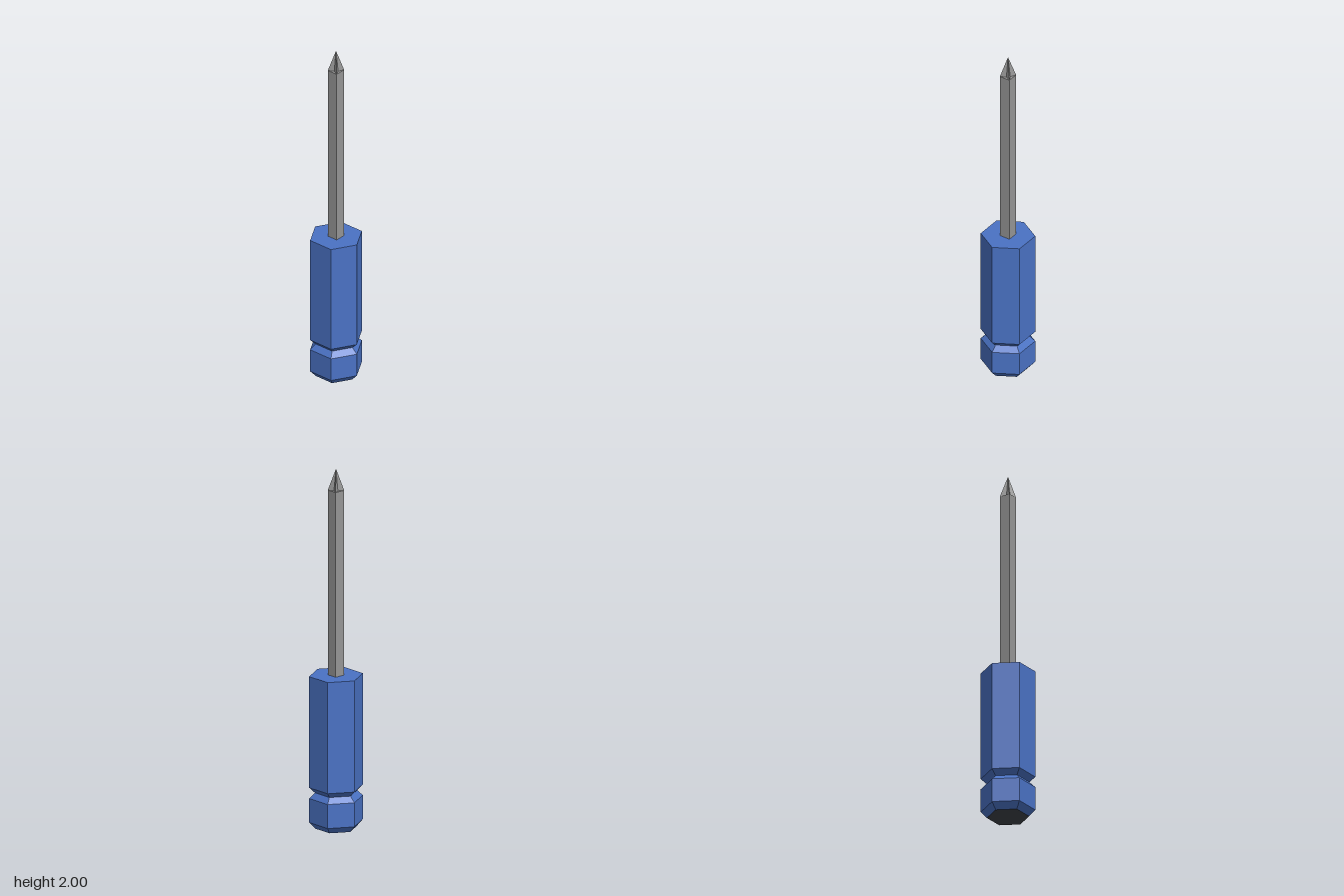
import * as THREE from 'three';

const blue = new THREE.MeshStandardMaterial({ color: 0x4a72c4 });
blue.name = 'blue handle';
const steel = new THREE.MeshStandardMaterial({ color: 0x969696 });
steel.name = 'steel';
const dark = new THREE.MeshStandardMaterial({ color: 0x40444a });
dark.name = 'dark end cap';

// Give every face its own normals for a faceted look
function faceted(geometry) {
  const flat = geometry.index ? geometry.toNonIndexed() : geometry;
  flat.computeVertexNormals();
  return flat;
}

function addPart(group, name, geometry, material) {
  const mesh = new THREE.Mesh(geometry, material);
  mesh.name = name;
  group.add(mesh);
  return mesh;
}

// Four-pointed star tapering to a point: ridges at the shaft corners, grooves between
function starTip(half, inner, y0, y1) {
  const ring = [];
  for (let i = 0; i < 8; i++) {
    const a = (i * Math.PI) / 4;
    const r = i % 2 ? half * Math.SQRT2 : inner;
    ring.push([r * Math.cos(a), y0, -r * Math.sin(a)]);
  }
  const positions = [];
  ring.forEach((p, i) => positions.push(...p, ...ring[(i + 1) % 8], 0, y1, 0));
  const geometry = new THREE.BufferGeometry();
  geometry.setAttribute('position', new THREE.Float32BufferAttribute(positions, 3));
  return faceted(geometry);
}

export function createModel() {
  const group = new THREE.Group();
  group.name = 'screwdriver';

  // Hexagonal handle with a chamfered base and a V groove
  const profile = [
    [0.113, 0], [0.146, 0.036], [0.146, 0.17], [0.115, 0.2],
    [0.146, 0.23], [0.146, 0.85], [0, 0.85],
  ].map(([r, y]) => new THREE.Vector2(r, y));
  addPart(group, 'handle', faceted(new THREE.LatheGeometry(profile, 6, Math.PI / 2)), blue);

  // Dark end face of the handle
  const cap = addPart(group, 'endCap', new THREE.CircleGeometry(0.113, 6), dark);
  cap.rotation.x = Math.PI / 2;

  // Square shaft
  const half = 0.031;
  const shaft = addPart(group, 'shaft', new THREE.BoxGeometry(half * 2, 1.03, half * 2), steel);
  shaft.position.y = 0.85 + 0.515;

  // Fluted point
  addPart(group, 'tip', starTip(half, 0.015, 1.88, 2), steel);

  return group;
}
